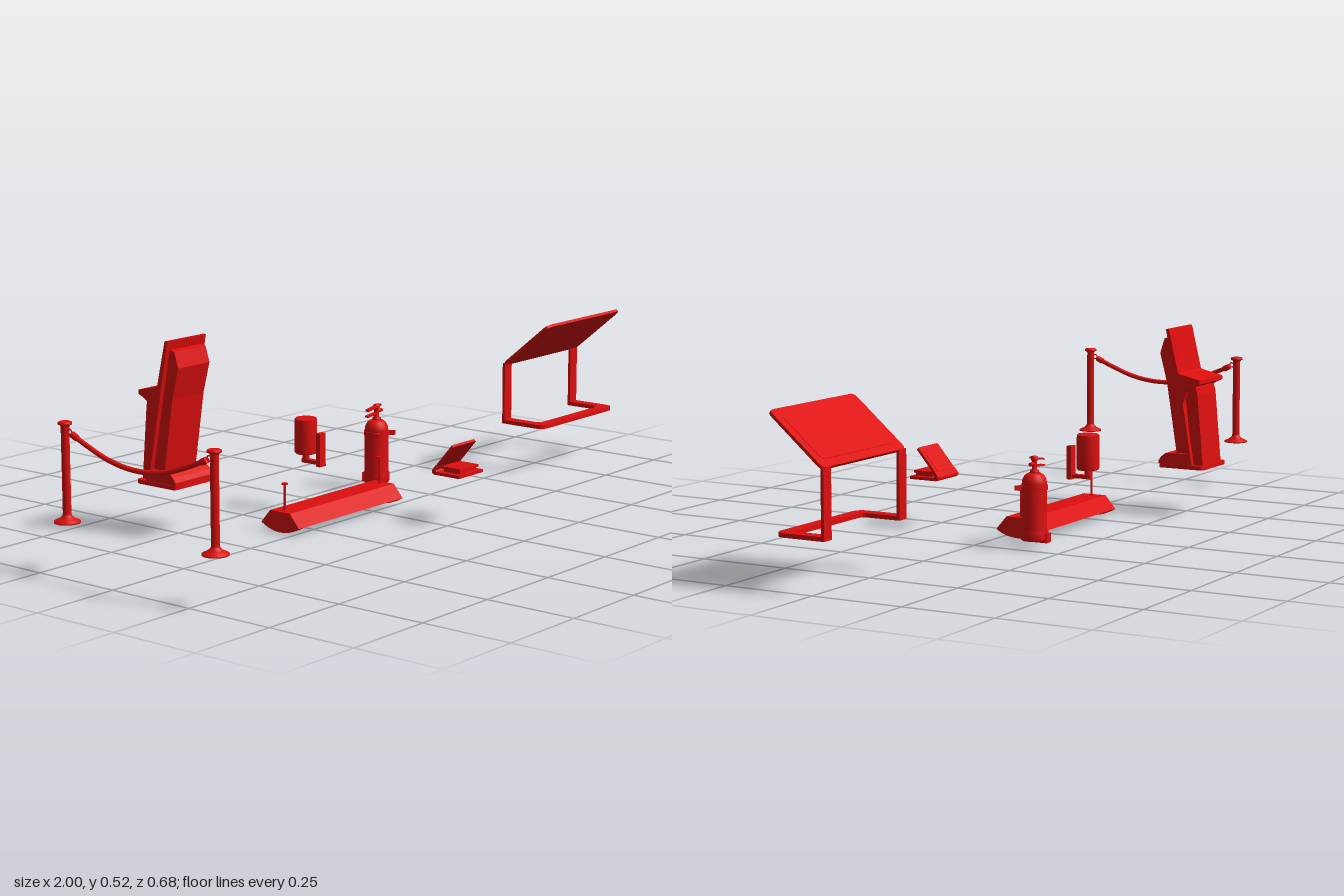
import * as THREE from 'three';

const RED = new THREE.MeshStandardMaterial({ color: 0xdd0e0e, side: THREE.DoubleSide });
const FLAT = RED.clone();
FLAT.flatShading = true;

function add(parent, name, geo, x = 0, y = 0, z = 0, mat = RED) {
  const m = new THREE.Mesh(geo, mat);
  m.name = name;
  m.position.set(x, y, z);
  parent.add(m);
  return m;
}
function part(parent, name) {
  const g = new THREE.Group();
  g.name = name;
  parent.add(g);
  return g;
}
// Box given by its min and max on each axis
function block(parent, name, x0, x1, y0, y1, z0, z1) {
  return add(parent, name, new THREE.BoxGeometry(x1 - x0, y1 - y0, z1 - z0), (x0 + x1) / 2, (y0 + y1) / 2, (z0 + z1) / 2);
}
// Side profile of [z, y] points, extruded to a width centred on x
function profile(parent, name, pts, width, x) {
  const shape = new THREE.Shape(pts.map(([z, y]) => new THREE.Vector2(z, y)));
  const geo = new THREE.ExtrudeGeometry(shape, { depth: width, bevelEnabled: false });
  geo.translate(0, 0, -width / 2).rotateY(-Math.PI / 2);
  return add(parent, name, geo, x, 0, 0, FLAT);
}
function roundRect(w, h, r) {
  const s = new THREE.Shape(), a = w / 2, b = h / 2;
  s.moveTo(-a + r, -b).lineTo(a - r, -b).quadraticCurveTo(a, -b, a, -b + r);
  s.lineTo(a, b - r).quadraticCurveTo(a, b, a - r, b).lineTo(-a + r, b);
  s.quadraticCurveTo(-a, b, -a, b - r).lineTo(-a, -b + r).quadraticCurveTo(-a, -b, -a + r, -b);
  return s;
}
// Thin rounded plate spanning two [z, y] points, with a slightly raised screen on its back face
function tiltedPlate(parent, name, lo, hi, w, t, r, x, border) {
  const dz = hi[0] - lo[0], dy = hi[1] - lo[1], len = Math.hypot(dz, dy);
  const g = part(parent, name);
  g.position.set(x, (lo[1] + hi[1]) / 2, (lo[0] + hi[0]) / 2);
  g.rotation.x = Math.atan2(dz, dy);
  const make = (sw, sh, d) => new THREE.ExtrudeGeometry(roundRect(sw, sh, r), { depth: d, bevelEnabled: false, curveSegments: 6 });
  add(g, name + 'Plate', make(w, len, t), 0, 0, -t / 2);
  add(g, name + 'Screen', make(w - 2 * border, len - 2 * border, 0.001), 0, 0, -t / 2 - 0.001);
}
const lathe = (pts, n = 24) => new THREE.LatheGeometry(pts.map(p => new THREE.Vector2(...p)), n);
const cyl = (r, h, n = 20) => new THREE.CylinderGeometry(r, r, h, n);

function ropeBarrier(root) {
  const g = part(root, 'ropeBarrier'), x = -0.967, mid = 0.062;
  for (const s of [-1, 1]) {
    const z = mid + s * 0.245;
    add(g, 'post', lathe([[0, 0.134], [0.033, 0.134], [0.033, 0.138], [0.02, 0.144], [0.012, 0.151], [0.0105, 0.157],
      [0.0105, 0.374], [0.013, 0.378], [0.0175, 0.38], [0.0175, 0.385], [0.014, 0.387], [0, 0.387]]), x, 0, z);
    const hook = add(g, 'hook', new THREE.TorusGeometry(0.0065, 0.0018, 8, 16), x, 0.363, z - s * 0.016);
    hook.rotation.y = Math.PI / 2;
    const ferrule = add(g, 'ropeFerrule', cyl(0.0085, 0.018, 14), x, 0.354, mid + s * 0.213);
    ferrule.rotation.x = s * 1.13;
  }
  const pts = [[0.222, 0.358], [0.17, 0.336], [0.11, 0.314], [0.055, 0.302], [0, 0.298]];
  const path = [...pts, ...pts.slice(0, 4).reverse().map(([d, y]) => [-d, y])]
    .map(([d, y]) => new THREE.Vector3(x, y, mid + d));
  add(g, 'rope', new THREE.TubeGeometry(new THREE.CatmullRomCurve3(path), 24, 0.0065, 10));
}

function kiosk(root) {
  const g = part(root, 'kiosk'), x = -0.488;
  const base = new THREE.ExtrudeGeometry(roundRect(0.148, 0.137, 0.012), { depth: 0.011, bevelEnabled: false });
  add(g, 'basePlate', base.rotateX(-Math.PI / 2), x, 0.134, -0.2715);
  // Leaning slab with a shelf
  profile(g, 'slabAndShelf', [[-0.223, 0.521], [-0.232, 0.521], [-0.261, 0.401], [-0.266, 0.398], [-0.327, 0.384], [-0.328, 0.373],
    [-0.308, 0.364], [-0.288, 0.349], [-0.279, 0.328], [-0.277, 0.315], [-0.305, 0.145], [-0.296, 0.145]], 0.146, x);
  profile(g, 'housing', [[-0.228, 0.497], [-0.212, 0.494], [-0.199, 0.452], [-0.221, 0.37], [-0.252, 0.176],
    [-0.252, 0.145], [-0.297, 0.145]], 0.118, x);
  profile(g, 'footCover', [[-0.203, 0.145], [-0.203, 0.153], [-0.211, 0.165], [-0.224, 0.175], [-0.252, 0.176],
    [-0.29, 0.176], [-0.296, 0.145]], 0.144, x);
  profile(g, 'column', [[-0.275, 0.364], [-0.308, 0.364], [-0.314, 0.342], [-0.332, 0.145], [-0.3, 0.145]], 0.116, x);
  tiltedPlate(g, 'display', [-0.256, 0.413], [-0.234, 0.509], 0.124, 0.002, 0.006, x, 0.007);
}

function lamp(root) {
  const g = part(root, 'hangingLamp'), x = -0.112, z = -0.048, L = 0.435;
  const arc = [];
  for (let i = 0; i <= 12; i++) {
    const a = (i / 12 - 0.5) * 1.16;
    arc.push([z + Math.sin(a) * 0.1187, 0.1202 - Math.cos(a) * 0.1187]);
  }
  const top = [[z + 0.034, 0.057], [z - 0.034, 0.057]];
  for (const s of [-1, 1]) profile(g, 'endCap', [...arc, ...top], 0.018, x + s * (L / 2 - 0.009));
  // Open hood shell with lengthwise tubes and a fin inside
  profile(g, 'hood', [[z + 0.065, 0.021], ...top, [z - 0.065, 0.021], [z - 0.06, 0.021],
    [z - 0.031, 0.052], [z + 0.031, 0.052], [z + 0.06, 0.021]], L - 0.03, x);
  for (const s of [-1, 1]) {
    add(g, 'tubeLight', cyl(0.011, L - 0.03), x, 0.028, z + s * 0.028).rotation.z = Math.PI / 2;
    add(g, 'rod', cyl(0.0032, 0.074, 12), x + s * 0.198, 0.093, z);
    add(g, 'rodCap', cyl(0.0085, 0.004, 16), x + s * 0.198, 0.129, z);
  }
  block(g, 'fin', x - L / 2 + 0.015, x + L / 2 - 0.015, 0.01, 0.053, z - 0.003, z + 0.003);
}

function sconce(root) {
  const g = part(root, 'cylinderOnBracket'), x = -0.113, z = -0.142;
  add(g, 'cylinderBody', lathe([[0, 0.163], [0.027, 0.163], [0.0305, 0.167], [0.0305, 0.256], [0.028, 0.26], [0, 0.26]]), x, 0, z);
  block(g, 'mountPlate', x - 0.012, x + 0.012, 0.134, 0.225, -0.097, -0.083);
  block(g, 'arm', x - 0.008, x + 0.008, 0.138, 0.148, z - 0.01, -0.096);
  add(g, 'neck', cyl(0.009, 0.028), x, 0.152, z);
}

function tabletStand(root) {
  const g = part(root, 'tabletStand'), x = 0.0525;
  profile(g, 'foldedBase', [[0.288, 0.134], [0.204, 0.134], [0.198, 0.138], [0.198, 0.145], [0.21, 0.16],
    [0.216, 0.155], [0.209, 0.147], [0.212, 0.142], [0.288, 0.142]], 0.105, x);
  tiltedPlate(g, 'tablet', [0.203, 0.146], [0.265, 0.219], 0.1, 0.007, 0.006, x, 0.012);
  block(g, 'innerPlinth', x - 0.036, x + 0.036, 0.142, 0.151, 0.226, 0.278);
  block(g, 'innerTray', x - 0.04, x + 0.04, 0.15, 0.157, 0.222, 0.282);
}

function extinguisher(root) {
  const g = part(root, 'fireExtinguisher'), x = 0.208, z = -0.157;
  add(g, 'tank', lathe([[0, 0.024], [0.034, 0.024], [0.0365, 0.028], [0.0365, 0.05], [0.033, 0.053], [0.033, 0.172],
    [0.031, 0.184], [0.025, 0.194], [0.016, 0.2], [0, 0.201]], 28), x, 0, z);
  add(g, 'valve', lathe([[0, 0.198], [0.012, 0.198], [0.012, 0.206], [0.007, 0.209], [0.007, 0.23], [0.009, 0.234], [0.009, 0.243], [0, 0.245]], 16), x, 0, z);
  const lever = add(g, 'lever', new THREE.BoxGeometry(0.056, 0.005, 0.013), x - 0.014, 0.236, z);
  lever.rotation.z = 0.18;
  const grip = add(g, 'carryGrip', new THREE.BoxGeometry(0.048, 0.005, 0.012), x - 0.02, 0.217, z);
  grip.rotation.z = 0.1;
  add(g, 'nozzle', cyl(0.005, 0.022, 12), x + 0.012, 0.224, z).rotation.z = Math.PI / 2;
  // Wall bracket: strap with clips, and a foot hook
  add(g, 'strap', cyl(0.0355, 0.012, 28), x, 0.162, z);
  for (const s of [-1, 1]) {
    const clip = add(g, 'strapClip', new THREE.BoxGeometry(0.02, 0.013, 0.005), x + s * 0.031, 0.162, z + 0.027);
    clip.rotation.y = -s * 0.75 + Math.PI / 2 * (1 + s);
    clip.position.z -= 0.003 - 0.006;
  }
  block(g, 'hookFloor', x - 0.012, x + 0.012, 0.02, 0.024, -0.2, -0.137);
  block(g, 'hookBack', x - 0.012, x + 0.012, 0.02, 0.045, -0.2, -0.197);
}

function lectern(root) {
  const g = part(root, 'infoLectern'), x = 0.818, a = 0.182, b = 0.149;
  // U-shaped floor frame, drawn in x and -z
  const s = new THREE.Shape();
  s.moveTo(-a, 0.036).lineTo(-a, -0.076).quadraticCurveTo(-a, -0.106, -a + 0.03, -0.106);
  s.lineTo(a - 0.03, -0.106).quadraticCurveTo(a, -0.106, a, -0.076).lineTo(a, 0.036).lineTo(b, 0.036);
  s.lineTo(b, -0.053).quadraticCurveTo(b, -0.073, b - 0.02, -0.073).lineTo(-b + 0.02, -0.073);
  s.quadraticCurveTo(-b, -0.073, -b, -0.053).lineTo(-b, 0.036);
  const floor = new THREE.ExtrudeGeometry(s, { depth: 0.011, bevelEnabled: false, curveSegments: 8 });
  add(g, 'floorFrame', floor.rotateX(-Math.PI / 2), x, 0.134, 0);
  for (const k of [-1, 1]) {
    const c = x + k * (a + b) / 2, h = (a - b) / 2;
    block(g, 'leg', c - h, c + h, 0.134, 0.31, -0.036, -0.028);
  }
  tiltedPlate(g, 'signPanel', [-0.033, 0.307], [0.119, 0.434], 0.364, 0.008, 0.016, x, 0.024);
}

export function createModel() {
  const root = new THREE.Group();
  root.name = 'exhibitionFurniture';
  for (const build of [ropeBarrier, kiosk, lamp, sconce, tabletStand, extinguisher, lectern]) build(root);
  return root;
}
